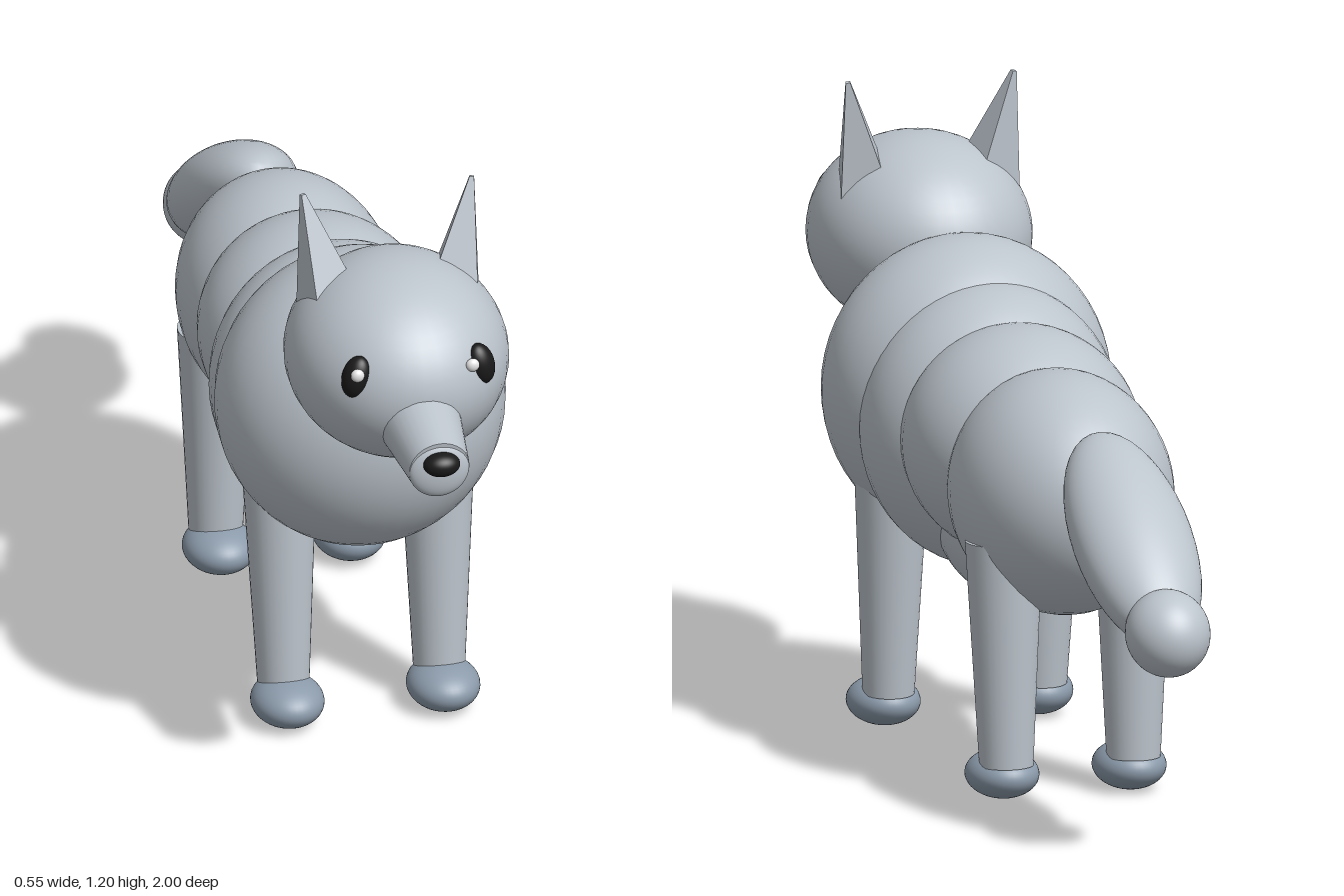
import * as THREE from 'three';

const mat = (name, color, flatShading = false) => {
  const m = new THREE.MeshStandardMaterial({ color, flatShading });
  m.name = name;
  return m;
};

export function createModel() {
  const group = new THREE.Group();
  const fur = mat('grey fur', 0xbcc4cc);
  const paw = mat('slate paw', 0x8c9bab);
  const black = mat('black', 0x1a1a1a);
  const white = mat('white glint', 0xffffff);

  const add = (name, geometry, material) => {
    const mesh = new THREE.Mesh(geometry, material);
    mesh.name = name;
    group.add(mesh);
    return mesh;
  };

  // Ellipsoid with a centre, three radii and an optional rotation
  const blob = (name, material, pos, radii, rot = [0, 0, 0]) => {
    const mesh = add(name, new THREE.SphereGeometry(1, 40, 28), material);
    mesh.position.set(...pos);
    mesh.scale.set(...radii);
    mesh.rotation.set(...rot);
    return mesh;
  };

  // Tapered cylinder between two points; turn spins it about its own axis
  const taper = (name, material, from, to, r0, r1, sides = 32, turn = 0) => {
    const a = new THREE.Vector3(...from);
    const b = new THREE.Vector3(...to);
    const dir = b.clone().sub(a);
    let geo = new THREE.CylinderGeometry(r1, r0, dir.length(), sides).rotateY(turn);
    if (sides < 8) {
      geo = geo.toNonIndexed();
      geo.computeVertexNormals();
    }
    const mesh = add(name, geo, material);
    mesh.position.copy(a).add(b).multiplyScalar(0.5);
    mesh.quaternion.setFromUnitVectors(new THREE.Vector3(0, 1, 0), dir.normalize());
    return mesh;
  };

  // Body, chest to rump
  blob('chest', fur, [0, 0.65, 0.32], [0.275, 0.29, 0.25]);
  blob('ribs', fur, [0, 0.61, 0.17], [0.25, 0.27, 0.225]);
  blob('waist', fur, [0, 0.62, -0.02], [0.225, 0.22, 0.25]);
  blob('rump', fur, [0, 0.575, -0.26], [0.207, 0.23, 0.27]);
  blob('belly', fur, [0, 0.45, 0], [0.14, 0.14, 0.28]);

  // Neck and head
  taper('neck', fur, [0, 0.72, 0.375], [0, 0.86, 0.556], 0.15, 0.15);
  blob('head', fur, [0, 0.885, 0.61], [0.21, 0.19, 0.24]);
  taper('muzzle', fur, [0, 0.835, 0.76], [0, 0.806, 0.955], 0.083, 0.058);
  blob('muzzleTip', fur, [0, 0.806, 0.952], [0.058, 0.057, 0.02]);
  blob('nose', black, [0, 0.825, 0.974], [0.035, 0.023, 0.026]);

  // Tail
  const tailAngle = -0.593;
  blob('tail', fur, [0, 0.576, -0.7], [0.115, 0.09, 0.27], [tailAngle, 0, 0]);
  blob('tailTip', fur, [0, 0.446, -0.915], [0.08, 0.08, 0.086], [tailAngle, 0, 0]);

  // Paired parts
  for (const [side, s] of [['left', 1], ['right', -1]]) {
    taper(`${side}Ear`, fur, [s * 0.12, 0.985, 0.572], [s * 0.163, 1.197, 0.538],
      0.066, 0.006, 4, s * Math.PI / 6);

    blob(`${side}Eye`, black, [s * 0.12, 0.932, 0.788], [0.027, 0.042, 0.024],
      [-0.15, s * 0.5, s * 0.3]);
    blob(`${side}EyeGlint`, white, [s * 0.11 - 0.012, 0.944, s > 0 ? 0.815 : 0.808],
      [0.013, 0.013, 0.01]);

    taper(`${side}FrontLeg`, fur, [s * 0.15, 0.07, 0.33], [s * 0.152, 0.5, 0.305], 0.049, 0.07);
    blob(`${side}FrontPaw`, paw, [s * 0.15, 0.049, 0.362], [0.069, 0.046, 0.082]);
    taper(`${side}BackLeg`, fur, [s * 0.125, 0.07, -0.315], [s * 0.127, 0.5, -0.305], 0.051, 0.073);
    blob(`${side}BackPaw`, paw, [s * 0.125, 0.049, -0.288], [0.069, 0.046, 0.082]);
  }

  return group;
}
